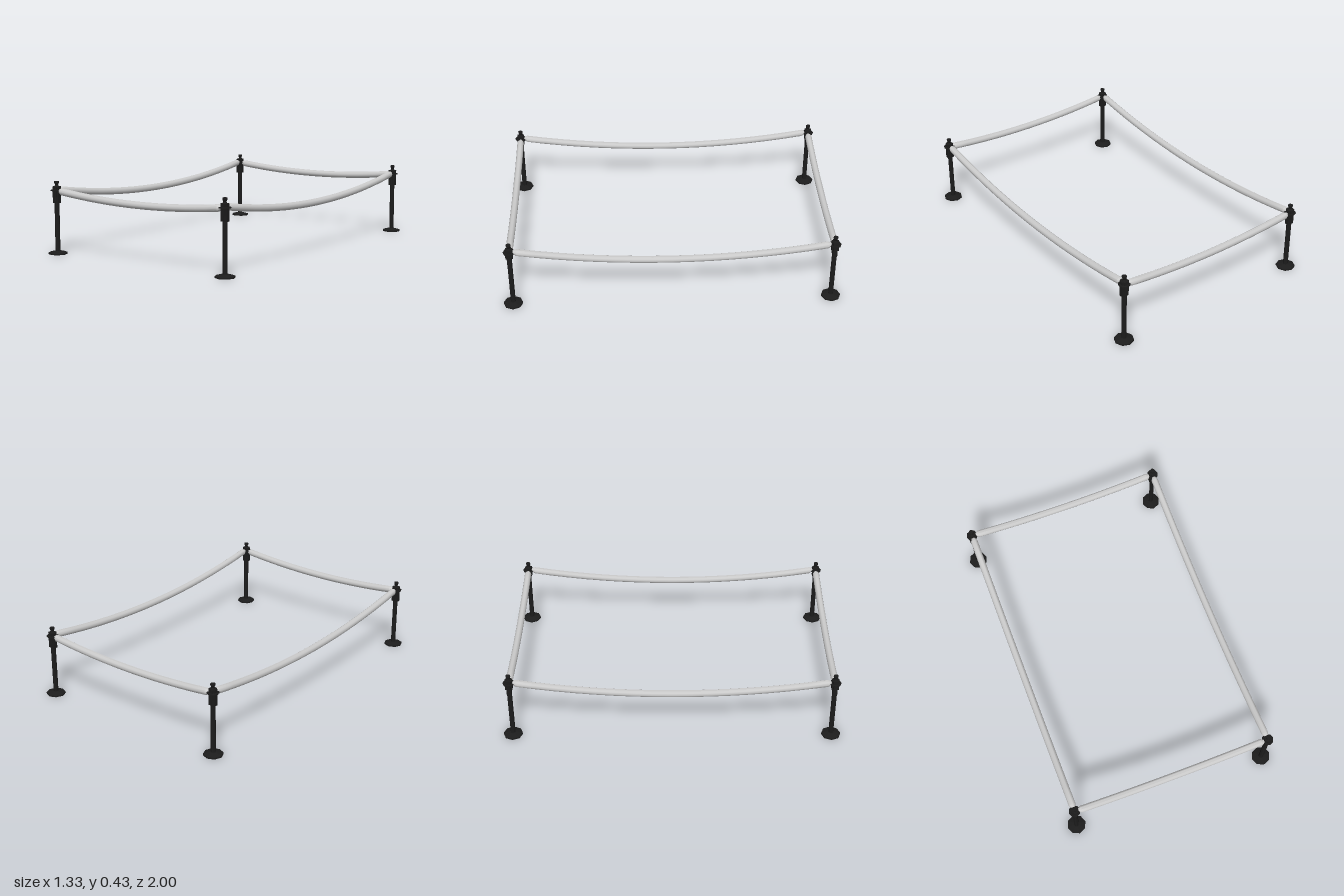
import * as THREE from 'three';
import { mergeVertices, toCreasedNormals } from 'three/addons/utils/BufferGeometryUtils.js';

const POST_X = 0.61, POST_Z = 0.943;
const black = new THREE.MeshStandardMaterial({ color: 0x1c1c1c, flatShading: true });
const grey = new THREE.MeshStandardMaterial({ color: 0xcccccc });

function part(name, geometry, material, y = 0) {
  const mesh = new THREE.Mesh(geometry, material);
  mesh.name = name;
  mesh.position.y = y;
  return mesh;
}

function turned(points, sides) {
  return new THREE.LatheGeometry(points.map(([r, y]) => new THREE.Vector2(r, y)), sides);
}

function createPost() {
  const post = new THREE.Group();
  post.name = 'post';
  // eight-sided foot with a gently sloping top
  post.add(part('foot', turned([[0, 0], [0.057, 0], [0.057, 0.009], [0.02, 0.019], [0, 0.019]], 8), black));
  post.add(part('shaft', new THREE.CylinderGeometry(0.0145, 0.0145, 0.385, 8), black, 0.2025));
  // head: a long sleeve one way, a shorter one across it
  post.add(part('sleeve', new THREE.BoxGeometry(0.042, 0.098, 0.026), black, 0.354));
  post.add(part('crossSleeve', new THREE.BoxGeometry(0.026, 0.062, 0.042), black, 0.372));
  post.add(part('hookPlate', new THREE.CylinderGeometry(0.035, 0.035, 0.006, 8), black, 0.38));
  // finial with a narrow neck and a flared top
  post.add(part('finial', turned([[0, 0.398], [0.014, 0.402], [0.009, 0.412], [0.014, 0.425], [0.014, 0.434], [0, 0.434]], 8), black));
  return post;
}

// Rope along x: a turned profile with tapered ends, bent into a sagging parabola
function ropeGeometry(reach, lowY, endY) {
  const radius = 0.0212, body = reach - 0.042, steps = 16;
  const points = [[0, -reach], [0.004, -reach], [0.004, -reach + 0.022], [0.012, -reach + 0.024]];
  for (let i = 0; i <= steps; i++) points.push([radius, body * (2 * i / steps - 1)]);
  points.push([0.012, reach - 0.024], [0.004, reach - 0.022], [0.004, reach], [0, reach]);
  let geometry = turned(points, 10).rotateZ(-Math.PI / 2);
  const p = geometry.attributes.position;
  for (let i = 0; i < p.count; i++) {
    const t = p.getX(i) / reach;
    p.setY(i, p.getY(i) + lowY + (endY - lowY) * t * t);
  }
  geometry.deleteAttribute('uv');
  geometry.deleteAttribute('normal');
  geometry = mergeVertices(geometry);
  return toCreasedNormals(geometry, 0.7);
}

export function createModel() {
  const model = new THREE.Group();
  model.name = 'ropeBarrier';

  for (const sx of [-1, 1]) {
    for (const sz of [-1, 1]) {
      const post = createPost();
      post.position.set(sx * POST_X, 0, sz * POST_Z);
      model.add(post);
    }
  }

  const shortRope = ropeGeometry(POST_X, 0.342, 0.379);
  const longRope = ropeGeometry(POST_Z, 0.303, 0.386);
  for (const s of [-1, 1]) {
    const across = part(s > 0 ? 'frontRope' : 'backRope', shortRope, grey);
    across.position.z = s * POST_Z;
    const along = part(s > 0 ? 'leftRope' : 'rightRope', longRope, grey);
    along.position.x = s * POST_X;
    along.rotation.y = Math.PI / 2;
    model.add(across, along);
  }
  return model;
}
